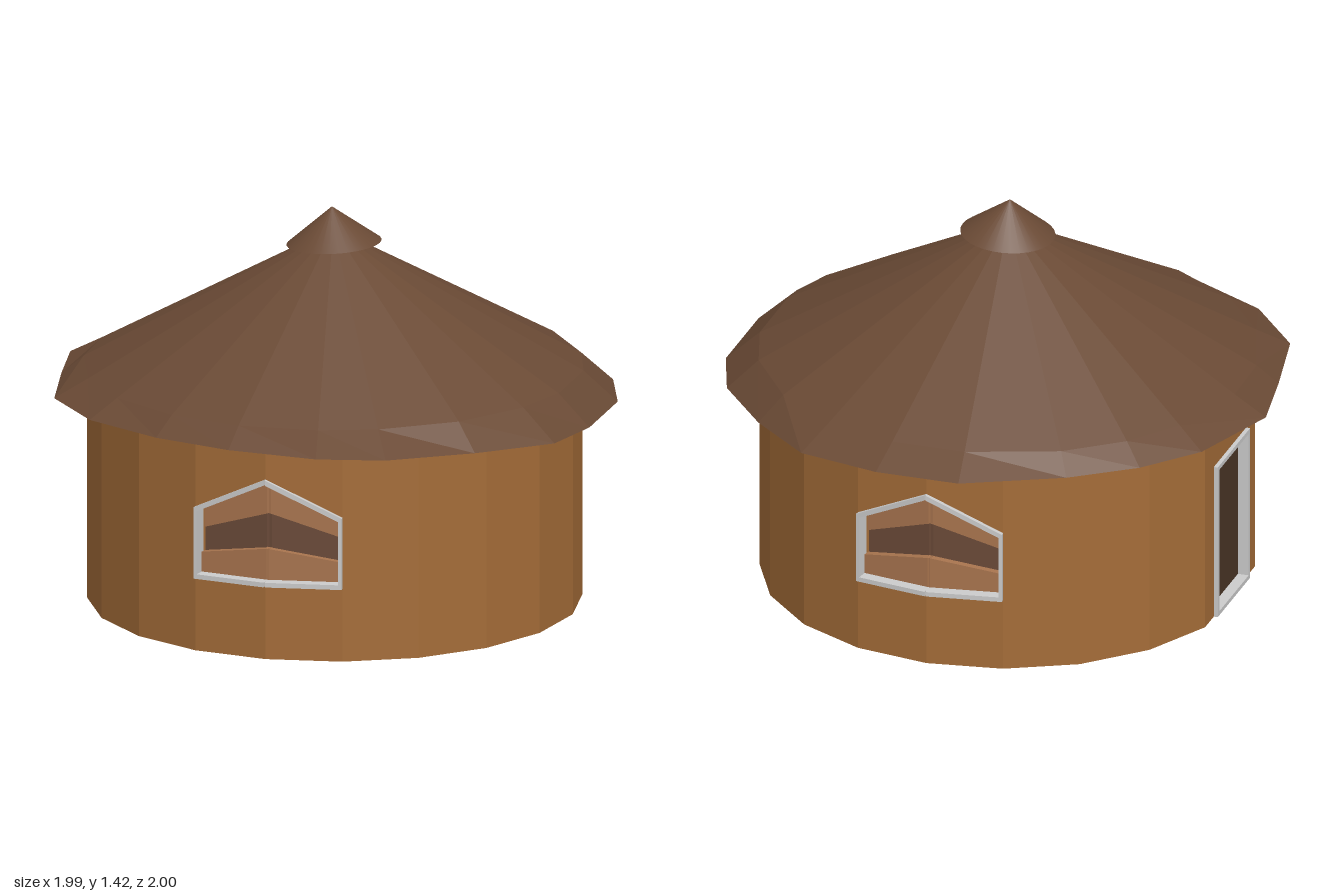
import * as THREE from 'three';

const mat = (color, extra = {}) => new THREE.MeshStandardMaterial({ color, flatShading: true, ...extra });
const wallMat = mat(0xa46c38), roofMat = mat(0x6a4a35, { side: THREE.DoubleSide });
const slatMat = mat(0xa8744e), darkMat = mat(0x6a4a38), doorMat = mat(0x4a3526);
const frameMat = mat(0xcccccc), floorMat = mat(0x6b4526, { side: THREE.DoubleSide });

const SIDES = 20, R = 0.872, C = 0.008, WALL_TOP = 0.82, THICK = 0.08;

// Corner k of the wall polygon, counted from the front towards +x
function corner(k) {
  const a = (k / SIDES) * Math.PI * 2;
  return new THREE.Vector3(C + R * Math.sin(a), 0, C + R * Math.cos(a));
}

// Group whose x runs along a wall panel and whose z points outwards
function panelGroup(name, p, q) {
  const g = new THREE.Group();
  g.name = name;
  g.position.copy(p);
  g.rotation.y = Math.atan2(p.z - q.z, q.x - p.x);
  return g;
}

// Flat plate cut from an outline, its outer face at z = front
function plate(name, points, front, depth, material, hole) {
  const toV = (p) => new THREE.Vector2(p[0], p[1]);
  const shape = new THREE.Shape(points.map(toV));
  if (hole) shape.holes.push(new THREE.Path(hole.map(toV)));
  const geo = new THREE.ExtrudeGeometry(shape, { depth, bevelEnabled: false });
  geo.translate(0, 0, front - depth);
  const mesh = new THREE.Mesh(geo, material);
  mesh.name = name;
  return mesh;
}

const rect = (x0, y0, x1, y1) => [[x0, y0], [x1, y0], [x1, y1], [x0, y1]];

// Half of a peaked window filling one wall panel; the peak is at one end
function halfWindow(g, L, peakAtEnd) {
  const sill = 0.27, side = 0.52, peak = 0.65, t = 0.013;
  const place = (pts) => pts.map(([s, y]) => [peakAtEnd ? s : L - s, y]);
  g.add(plate('wallBelowWindow', rect(0, 0, L, sill), 0, THICK, wallMat));
  g.add(plate('wallAboveWindow',
    place([[0, side], [L, peak], [L, WALL_TOP], [0, WALL_TOP]]), 0, THICK, wallMat));
  // Frame open towards the other half
  g.add(plate('windowFrame', place([
    [0, sill - 0.004], [L, sill - 0.004], [L, sill + t], [t, sill + t],
    [t, side - t * 0.5], [L, peak - t], [L, peak + 0.006], [0, side + 0.006],
  ]), 0.017, 0.06, frameMat));
  // Three slats, each a third of the opening
  const strip = (i) => {
    const lo = i / 3, hi = (i + 1) / 3, h0 = side - sill, h1 = peak - sill;
    return place([[0, sill + h0 * lo], [L, sill + h1 * lo], [L, sill + h1 * hi], [0, sill + h0 * hi]]);
  };
  g.add(plate('lowerSlat', strip(0), -0.025, 0.035, slatMat));
  g.add(plate('middleSlat', strip(1), -0.05, 0.02, darkMat));
  g.add(plate('upperSlat', strip(2), -0.045, 0.025, slatMat));
}

function buildWalls() {
  const walls = new THREE.Group();
  walls.name = 'walls';
  const outline = [];
  for (let k = 0; k < SIDES; k++) {
    if (k !== 15) outline.push(corner(k));
    if (k === 14 || k === 15) continue; // replaced by the flat door panel
    const p = corner(k), q = corner(k + 1), L = p.distanceTo(q);
    const g = panelGroup('wallPanel', p, q);
    if (k === 19 || k === 9) halfWindow(g, L, true);
    else if (k === 0 || k === 10) halfWindow(g, L, false);
    else g.add(plate('wallPlate', rect(0, 0, L, WALL_TOP), 0, THICK, wallMat));
    walls.add(g);
  }

  // Flat panel with the door
  const p = corner(14), q = corner(16), L = p.distanceTo(q);
  const a = L / 2 - 0.175, b = L / 2 + 0.175, top = 0.58, t = 0.016;
  const door = panelGroup('doorPanel', p, q);
  door.add(plate('doorWall',
    [[0, 0], [a, 0], [a, top], [b, top], [b, 0], [L, 0], [L, WALL_TOP], [0, WALL_TOP]], 0, THICK, wallMat));
  door.add(plate('doorFrame', rect(a, 0, b, top), 0.015, 0.06, frameMat,
    rect(a + t, t, b - t, top - t)));
  door.add(plate('door', rect(a + t, t, b - t, top - t), -0.025, 0.02, doorMat));
  walls.add(door);

  // Floor
  const floorGeo = new THREE.ShapeGeometry(new THREE.Shape(outline.map((v) => new THREE.Vector2(v.x, -v.z))));
  floorGeo.rotateX(-Math.PI / 2);
  const floor = new THREE.Mesh(floorGeo, floorMat);
  floor.name = 'floor';
  floor.position.y = 0.002;
  walls.add(floor);
  return walls;
}

// Uneven eave as x, z pairs, from the front going towards +x
const EAVE = [
  [-0.10, 0.976], [0.227, 1.0], [0.46, 0.92], [0.72, 0.69], [0.936, 0.43],
  [0.99, 0.176], [0.99, -0.18], [0.90, -0.43], [0.69, -0.70], [0.456, -0.917],
  [0.15, -1.0], [-0.157, -1.0], [-0.50, -0.83], [-0.717, -0.667], [-0.88, -0.47],
  [-1.0, -0.123], [-0.95, 0.16], [-0.88, 0.49], [-0.68, 0.73], [-0.39, 0.89],
];

function buildRoof() {
  const apex = [0, 1.34, 0], pos = [];
  const eave = EAVE.map(([x, z]) => [x, 0.78 - 0.046 * Math.max(0, x) ** 2, z]);
  const ring = EAVE.map(([x, z]) => {
    const s = 0.885 / Math.hypot(x, z);
    return [x * s, 0.845, z * s];
  });
  for (let i = 0; i < EAVE.length; i++) {
    const j = (i + 1) % EAVE.length;
    pos.push(...apex, ...ring[i], ...ring[j]);
    pos.push(...ring[i], ...eave[i], ...eave[j], ...ring[i], ...eave[j], ...ring[j]);
  }
  const geo = new THREE.BufferGeometry();
  geo.setAttribute('position', new THREE.Float32BufferAttribute(pos, 3));
  geo.computeVertexNormals();
  const roof = new THREE.Mesh(geo, roofMat);
  roof.name = 'roof';
  return roof;
}

export function createModel() {
  const model = new THREE.Group();
  model.name = 'roundHut';
  model.add(buildWalls(), buildRoof());

  // Slightly tilted cap on the roof peak
  const capMat = new THREE.MeshStandardMaterial({ color: 0x6a4a35, side: THREE.DoubleSide });
  const cap = new THREE.Mesh(new THREE.ConeGeometry(0.168, 0.13, 32, 1, true), capMat);
  cap.name = 'roofCap';
  cap.position.set(0, 1.355, 0.005);
  cap.rotation.z = 0.06;
  model.add(cap);
  return model;
}
